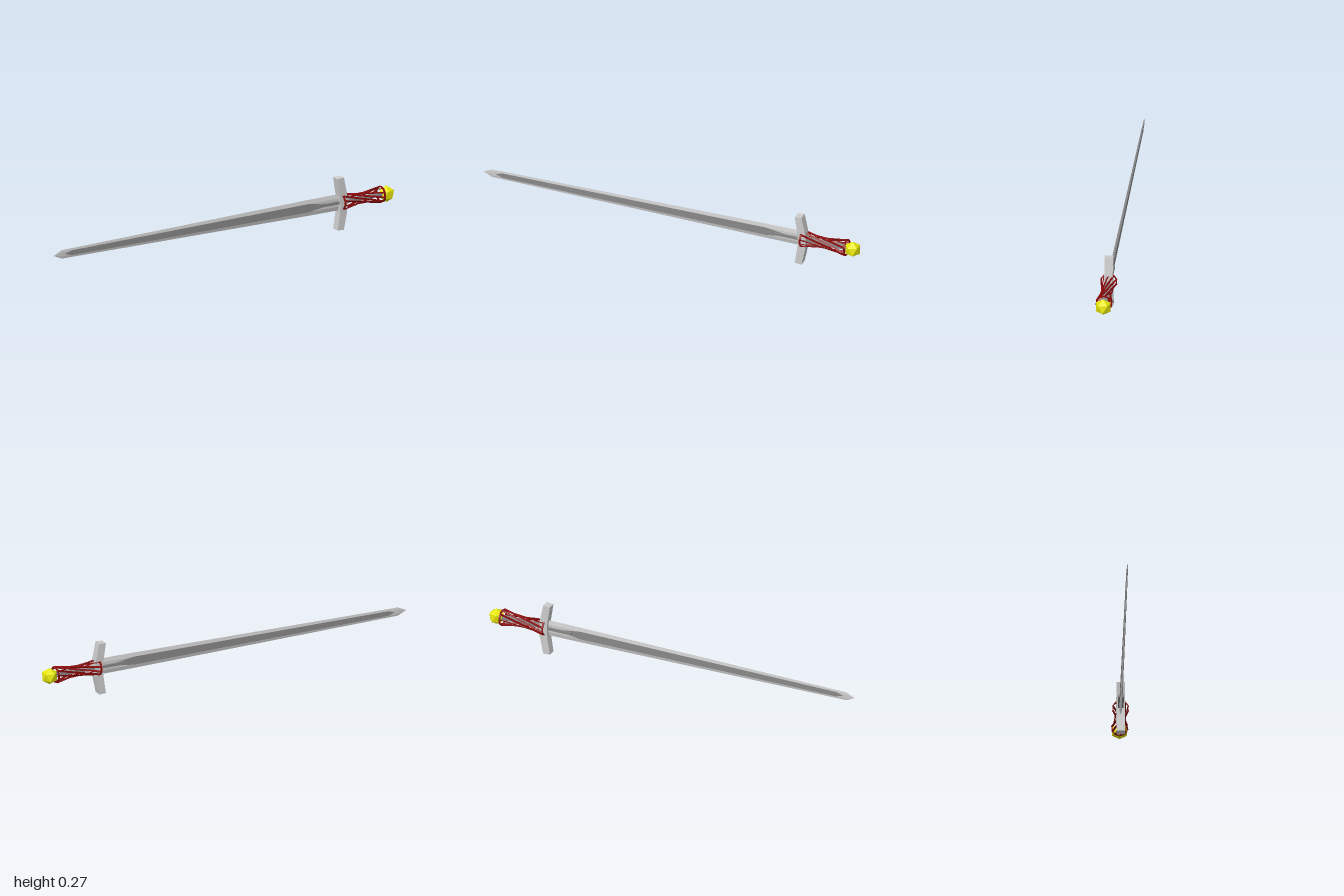
import * as THREE from 'three';

const AXIS_Y = 0.14;

function material(color) {
  return new THREE.MeshStandardMaterial({ color, flatShading: true });
}

function addMesh(parent, name, geometry, mat) {
  const mesh = new THREE.Mesh(geometry, mat);
  mesh.name = name;
  parent.add(mesh);
  return mesh;
}

// Joins cross-sections (equal rings of Vector3, counter-clockwise seen from +x) along x.
function loft(rings) {
  const n = rings[0].length;
  const pos = [];
  const tri = (...pts) => pts.forEach(p => pos.push(p.x, p.y, p.z));
  for (let i = 0; i < rings.length - 1; i++) {
    for (let j = 0; j < n; j++) {
      const k = (j + 1) % n;
      const a = rings[i][j], b = rings[i][k], c = rings[i + 1][k], d = rings[i + 1][j];
      tri(a, b, c);
      tri(a, c, d);
    }
  }
  const first = rings[0], last = rings[rings.length - 1];
  for (let j = 1; j < n - 1; j++) {
    tri(first[0], first[j + 1], first[j]);
    tri(last[0], last[j], last[j + 1]);
  }
  const geo = new THREE.BufferGeometry();
  geo.setAttribute('position', new THREE.Float32BufferAttribute(pos, 3));
  geo.computeVertexNormals();
  return geo;
}

// Six-sided section: flat cheeks in the middle, thin cutting edges above and below.
function bladeSection(x, h, t) {
  return [[0, h], [t, h * 0.5], [t, -h * 0.5], [0, -h], [-t, -h * 0.5], [-t, h * 0.5]]
    .map(([z, y]) => new THREE.Vector3(x, y, z));
}

function boxSection(x, h, t) {
  return [[t, h], [t, -h], [-t, -h], [-t, h]].map(([z, y]) => new THREE.Vector3(x, y, z));
}

// Straight bar between two points
function bar(a, b, width, depth, outward) {
  const dir = b.clone().sub(a);
  const geo = new THREE.BoxGeometry(dir.length(), width, depth);
  const xAxis = dir.clone().normalize();
  const zAxis = outward.clone().addScaledVector(xAxis, -outward.dot(xAxis)).normalize();
  const yAxis = zAxis.clone().cross(xAxis);
  const m = new THREE.Matrix4().makeBasis(xAxis, yAxis, zAxis);
  m.setPosition(a.clone().add(b).multiplyScalar(0.5));
  return geo.applyMatrix4(m);
}

export function createModel() {
  const sword = new THREE.Group();
  sword.name = 'sword';
  const grey = material(0xcccccc);
  const darkGrey = material(0x888888);
  const red = material(0x8b0a0a);
  const yellow = material(0xe6e60a);

  // Blade, widening from the point to the guard
  const body = new THREE.Group();
  body.position.y = AXIS_Y;
  sword.add(body);
  addMesh(body, 'blade', loft([
    bladeSection(-1, 0.001, 0.0005),
    bladeSection(-0.955, 0.022, 0.002),
    bladeSection(0.5, 0.041, 0.005),
    bladeSection(0.68, 0.042, 0.006),
  ]), grey);

  // Dark central panel on both cheeks
  addMesh(body, 'bladePanel', loft([
    boxSection(-0.935, 0.001, 0.003),
    boxSection(-0.9, 0.012, 0.0035),
    boxSection(0.5, 0.021, 0.0065),
    boxSection(0.6, 0.007, 0.0068),
  ]), darkGrey);

  // Tang running from the blade through the grip
  addMesh(body, 'tang', new THREE.BoxGeometry(0.39, 0.014, 0.028), darkGrey)
    .position.x = 0.745;

  // Guard, with both arms bent slightly towards the blade
  const guardShape = new THREE.Shape([
    [0.662, 0.002], [0.698, 0], [0.717, 0.09], [0.72, 0.135], [0.717, 0.18], [0.698, 0.27],
    [0.662, 0.266], [0.675, 0.18], [0.678, 0.135], [0.675, 0.09],
  ].map(p => new THREE.Vector2(...p)));
  addMesh(sword, 'guard',
    new THREE.ExtrudeGeometry(guardShape, { depth: 0.042, bevelEnabled: false }).translate(0, 0, -0.021), grey);

  // Open grip: twisted strips between two ten-sided rims
  const grip = new THREE.Group();
  grip.name = 'grip';
  body.add(grip);
  const SIDES = 10, TWIST = 1.75, X0 = 0.695, X1 = 0.93, R = 0.04;
  const rimPoint = (x, angle) => new THREE.Vector3(x, R * Math.cos(angle), R * Math.sin(angle));
  const step = Math.PI * 2 / SIDES;
  for (let i = 0; i < SIDES; i++) {
    const a = i * step;
    const start = rimPoint(X0, a), end = rimPoint(X1, a + TWIST);
    addMesh(grip, 'gripStrip', bar(start, end, 0.009, 0.004, rimPoint(0, a + TWIST / 2)), red);
    for (const x of [X0, X1]) {
      addMesh(grip, 'gripRim',
        bar(rimPoint(x, a), rimPoint(x, a + step), 0.009, 0.004, rimPoint(0, a + step / 2)), red);
    }
  }

  // Faceted pommel: twenty triangles around a vertical axis
  const gem = new THREE.IcosahedronGeometry(0.0425, 0);
  const pole = new THREE.Vector3(0, 1, (1 + Math.sqrt(5)) / 2).normalize();
  gem.applyQuaternion(new THREE.Quaternion().setFromUnitVectors(pole, new THREE.Vector3(0, 1, 0)));
  // Turn so that a lower corner points away from the blade
  const p = gem.attributes.position;
  let turn = 0;
  for (let i = 0; i < p.count; i++) {
    if (p.getY(i) < -0.01 && p.getY(i) > -0.03) turn = Math.atan2(p.getZ(i), p.getX(i));
  }
  gem.rotateY(turn);
  const pommel = addMesh(sword, 'pommel', gem, yellow);
  pommel.position.set(0.962, 0.138, 0);

  return sword;
}
